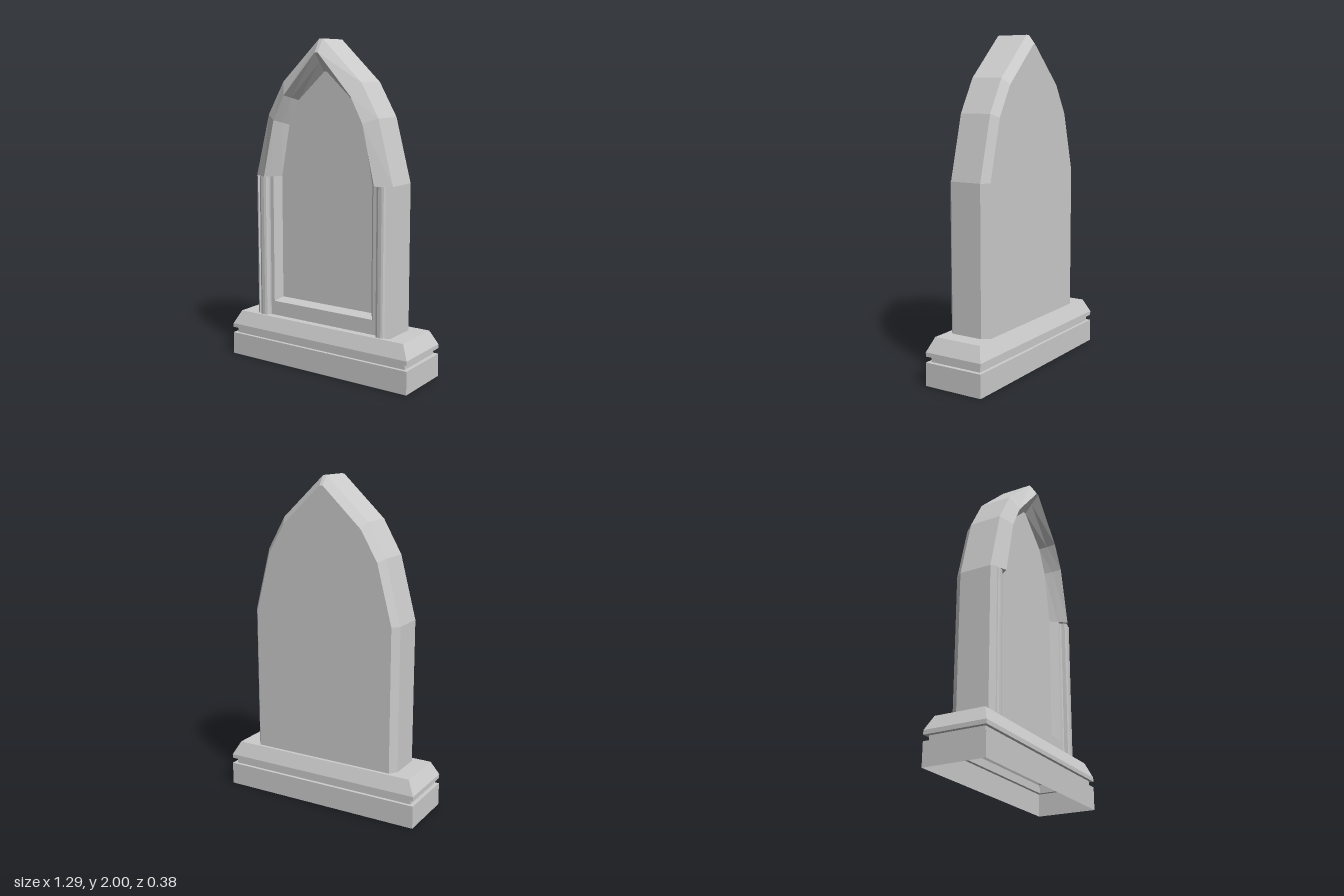
import * as THREE from 'three';

const stone = new THREE.MeshStandardMaterial({ color: 0xcccccc, flatShading: true });
const openStone = new THREE.MeshStandardMaterial({ color: 0xcccccc, flatShading: true, side: THREE.DoubleSide });

// Skin consecutive rings of [x, y, z] points with flat quads
function loft(rings, closed) {
  const pos = [];
  for (let r = 0; r < rings.length - 1; r++) {
    const a = rings[r], b = rings[r + 1], n = a.length;
    for (let i = 0; i < (closed ? n : n - 1); i++) {
      const j = (i + 1) % n;
      pos.push(...a[i], ...a[j], ...b[j], ...a[i], ...b[j], ...b[i]);
    }
  }
  const g = new THREE.BufferGeometry();
  g.setAttribute('position', new THREE.Float32BufferAttribute(pos, 3));
  g.computeVertexNormals();
  return g;
}

// Mirror a right-hand half outline (bottom to apex) into a full arch at depth z
function arch(half, z) {
  const right = half.map(([x, y]) => [x, y, z]);
  const left = half.map(([x, y]) => [-x, y, z]).reverse();
  return [...right, ...left];
}

// Flat face filling a ring
function face(ring) {
  const shape = new THREE.Shape(ring.map(([x, y]) => new THREE.Vector2(x, y)));
  return new THREE.ShapeGeometry(shape);
}

export function createModel() {
  const group = new THREE.Group();
  const add = (name, geometry, material = stone) => {
    const mesh = new THREE.Mesh(geometry, material);
    mesh.name = name;
    group.add(mesh);
    return mesh;
  };

  const floor = 0.285, spring = 1.17;

  // Stepped plinth, open underneath: [half width, half depth, height]
  const plinth = [
    [0.645, 0.19, 0], [0.645, 0.19, 0.14], [0.62, 0.17, 0.14], [0.62, 0.17, 0.175],
    [0.645, 0.19, 0.175], [0.645, 0.19, 0.2], [0.6, 0.155, floor], [0, 0, floor],
  ].map(([x, z, y]) => [[x, y, z], [x, y, -z], [-x, y, -z], [-x, y, z]]);
  add('plinth', loft(plinth, true), openStone);

  // Pointed slab: chamfered back edge and plain sides
  const outer = [[0.495, floor], [0.495, spring], [0.395, 1.55], [0.28, 1.75], [0.012, 2]];
  const backHalf = [[0.46, floor], [0.46, spring], [0.365, 1.53], [0.26, 1.71], [0.01, 1.945]];
  const back = arch(backHalf, -0.135);
  add('slabSides', loft([back, arch(outer, -0.09), arch(outer, 0.11)], false));
  const backFace = face(back).rotateY(Math.PI);
  add('slabBack', backFace).position.z = -0.135;

  // Raised arch moulding: slopes up to a ridge, then down to the recess rim
  const ridge = [[0.4, spring], [0.32, 1.52], [0.24, 1.67], [0.01, 1.92]];
  const rim = [[0.365, spring], [0.295, 1.505], [0.22, 1.655], [0.01, 1.865]];
  add('archMoulding', loft([arch(outer.slice(1), 0.11), arch(ridge, 0.16), arch(rim, 0.11)], false));

  // Sunken panel with a bevelled border
  const inner = [[0.33, 0.4], [0.33, spring], [0.27, 1.49], [0.2, 1.64], [0.01, 1.81]];
  const panel = arch(inner, 0.065);
  add('recessBevel', loft([arch([[0.365, 0.375], ...rim], 0.11), panel], true));
  add('recessPanel', face(panel)).position.z = 0.065;

  // Sill below the panel
  const sill = new THREE.PlaneGeometry(0.8, 0.375 - floor);
  add('sill', sill).position.set(0, (floor + 0.375) / 2, 0.11);

  // Moulded jambs and the underside of the arch moulding, mirrored
  const jambProfile = [
    [0.495, 0.06], [0.495, 0.11], [0.466, 0.137], [0.46, 0.118], [0.452, 0.137],
    [0.44, 0.142], [0.418, 0.142], [0.404, 0.137], [0.398, 0.115], [0.39, 0.11], [0.365, 0.11], [0.365, 0.06],
  ];
  const soffitProfile = [[0.495, 0.11], [0.4, 0.16], [0.365, 0.11]];
  for (const side of [1, -1]) {
    const tag = side > 0 ? 'left' : 'right';
    const toShape = (pts) => new THREE.Shape(pts.map(([x, z]) => new THREE.Vector2(side * x, -z)));
    const jamb = new THREE.ExtrudeGeometry(toShape(jambProfile), { depth: spring - floor, bevelEnabled: false });
    add(tag + 'Jamb', jamb.rotateX(-Math.PI / 2)).position.y = floor;
    const soffit = new THREE.ShapeGeometry(toShape(soffitProfile)).rotateX(-Math.PI / 2);
    add(tag + 'ArchSoffit', soffit, openStone).position.y = spring + 0.001;
  }

  return group;
}
